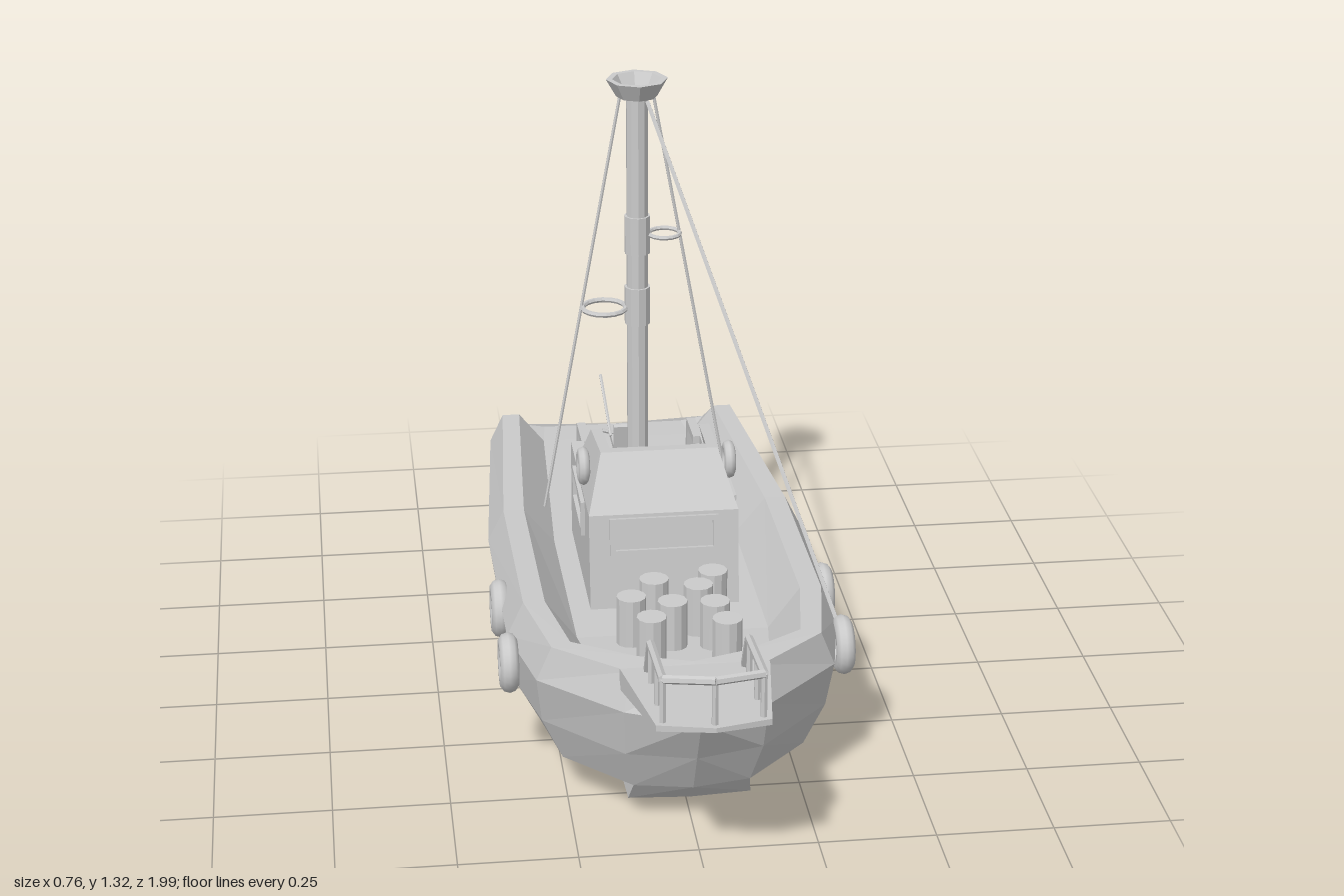
import * as THREE from 'three';

const mat = new THREE.MeshStandardMaterial({ color: 0xcccccc, flatShading: true, side: THREE.DoubleSide });
const smooth = new THREE.MeshStandardMaterial({ color: 0xcccccc });

// Half cross-section of the hull: keel, chines, shoulder, rim, deck edge, deck centre.
// The z values rake the section; those left out follow the keel.
function hullSection([beam, rim, floor, keel, zKeel, zMid = zKeel, zShoulder = zKeel, zRim = zKeel, zDeck = zKeel]) {
  return [
    [0, keel, zKeel],
    [Math.min(0.13, beam), keel + 0.005, zKeel],
    [beam * 0.82, rim * 0.25, (zKeel + zMid) / 2],
    [beam * 0.96, rim * 0.5, zMid],
    [beam, rim * 0.79, zShoulder],
    [beam * 0.9, rim, zRim],
    [beam * 0.77, rim, (zRim + zDeck) / 2],
    [beam * 0.58, floor, zDeck],
    [0, floor, zDeck],
  ];
}

export function createModel() {
  const boat = new THREE.Group();
  boat.name = 'fishingBoat';

  const add = (name, geo, pos = [0, 0, 0], rot = [0, 0, 0], m = mat) => {
    const mesh = new THREE.Mesh(geo, m);
    mesh.name = name;
    mesh.position.set(...pos);
    mesh.rotation.set(...rot);
    boat.add(mesh);
    return mesh;
  };
  // Round bar between two points
  const bar = (name, a, b, r) => {
    const p = new THREE.Vector3(...a), q = new THREE.Vector3(...b), d = q.clone().sub(p);
    const middle = p.clone().lerp(q, 0.5).toArray();
    const mesh = add(name, new THREE.CylinderGeometry(r, r, d.length(), 6), middle);
    mesh.quaternion.setFromUnitVectors(new THREE.Vector3(0, 1, 0), d.normalize());
  };
  const outline = pts => new THREE.Shape(pts.map(p => new THREE.Vector2(...p)));
  // Profile of [z, y] points extruded from x0 to x1, narrowing above the cabin shoulder
  const slab = (name, pts, x0, x1) => {
    const g = new THREE.ExtrudeGeometry(outline(pts), { depth: x1 - x0, bevelEnabled: false });
    g.rotateY(-Math.PI / 2).translate(x1, 0, 0);
    const p = g.attributes.position;
    for (let i = 0; i < p.count; i++) p.setX(i, p.getX(i) * (1 - Math.max(0, p.getY(i) - 0.49) * 1.9));
    add(name, g);
  };
  // Rectangular window frame with a raised border
  const frame = (name, w, h, pos, rot) => {
    const rect = (a, b) => outline([[-a, -b], [a, -b], [a, b], [-a, b]]);
    const s = rect(w / 2, h / 2);
    s.holes.push(rect(w / 2 - 0.012, h / 2 - 0.012));
    add(name, new THREE.ExtrudeGeometry(s, { depth: 0.012, bevelEnabled: false }), pos, rot);
  };

  // Hull, lofted from stern to bow: beam, rim height, floor height, keel height, z values
  const sections = [
    [.3, .25, .24, .005, -1, -.98, -.96, -.95, -.95],
    [.318, .32, .245, .005, -.85],
    [.365, .345, .26, .005, -.23],
    [.36, .372, .28, .005, .3],
    [.315, .385, .3, .025, .48, .5, .53, .54, .5],
    [.15, .392, .3, .04, .59, .67, .7, .68, .545],
    [0, .395, .3, .04, .6, .71, .775, .73, .58],
  ].map(hullSection);
  const verts = [];
  const tri = (a, b, c) => {
    verts.push(...a, ...b, ...c);
    for (const v of [a, c, b]) verts.push(-v[0], v[1], v[2]);
  };
  for (let i = 0; i < sections.length - 1; i++) {
    for (let j = 0; j < 8; j++) {
      const [a, b, c, d] = [sections[i][j], sections[i][j + 1], sections[i + 1][j + 1], sections[i + 1][j]];
      tri(a, b, c);
      tri(a, c, d);
    }
  }
  // Transom
  const stern = sections[0];
  for (let j = 0; j < 7; j++) tri(stern[8], stern[j + 1], stern[j]);
  const hull = new THREE.BufferGeometry();
  hull.setAttribute('position', new THREE.Float32BufferAttribute(verts, 3));
  hull.computeVertexNormals();
  add('hull', hull);

  // Bow platform: flat outline, sloped to a wedge
  const bow = new THREE.ExtrudeGeometry(
    outline([[-.155, .67], [.155, .67], [.115, .96], [0, .99], [-.115, .96]]), { depth: 1, bevelEnabled: false });
  const bp = bow.attributes.position;
  for (let i = 0; i < bp.count; i++) {
    const z = bp.getY(i), under = bp.getZ(i) > 0.5;
    bp.setXYZ(i, bp.getX(i), under ? .348 + (z - .67) * .2 : .395 + (z - .67) * .085, z);
  }
  bow.computeVertexNormals();
  add('bowPlatform', bow);

  // Bow railing
  for (const s of [-1, 1]) {
    const rail = [[s * .1, .40, .69], [s * .1, .485, .74], [s * .1, .512, .945], [0, .518, .975]];
    for (let i = 0; i < 3; i++) bar('bowRail', rail[i], rail[i + 1], .009);
    for (const [z, y] of [[.75, .485], [.86, .5], [.945, .512]]) bar('railPost', [s * .1, .4, z], [s * .1, y, z], .007);
  }
  bar('railPost', [0, .41, .97], [0, .515, .97], .007);

  // Open wheelhouse: side walls and raked front wall
  for (const s of [-1, 1]) {
    const [a, b] = s > 0 ? [.135, .165] : [-.165, -.135];
    slab('cabinSideLower', [[-.29, .25], [.16, .25], [.135, .49], [-.29, .485]], a, b);
    slab('cabinSideUpper', [[-.165, .487], [.135, .49], [.05, .603], [-.12, .587]], a, b);
    frame('sideWindowFrame', .205, .08, [s * .162, .44, -.062], [0, s * Math.PI / 2, 0]);
    add('lifeRing', new THREE.TorusGeometry(.03, .013, 8, 20), [s * .163, .547, -.01], [0, Math.PI / 2, 0], smooth);
    // Bent support frames behind the cabin
    slab('supportFrame', [[-.29, .465], [-.29, .483], [-.415, .477], [-.455, .25], [-.43, .25], [-.395, .46]],
      s * .13 - .01, s * .13 + .01);
  }
  slab('cabinFrontLower', [[.12, .25], [.162, .25], [.135, .49], [.1, .49]], -.165, .165);
  slab('cabinFrontUpper', [[.1, .49], [.135, .49], [.05, .603], [.02, .6]], -.165, .165);
  frame('frontWindowFrame', .24, .085, [0, .44, .138], [-.112, 0, 0]);

  // Mast with collars, lookout bowl and foot
  add('mastFoot', new THREE.BoxGeometry(.25, .03, .1), [0, .265, -.35]);
  add('mast', new THREE.CylinderGeometry(.025, .025, 1.04, 10), [0, .77, -.375]);
  for (const y of [.785, .957]) add('mastCollar', new THREE.CylinderGeometry(.03, .03, .09, 10), [0, y, -.375]);
  add('lookoutBowl', new THREE.LatheGeometry(
    [[0, 1.285], [.047, 1.285], [.07, 1.325], [.056, 1.325], [.04, 1.298], [0, 1.298]].map(p => new THREE.Vector2(...p)), 8),
  [0, 0, -.375]);
  add('mastHoop', new THREE.TorusGeometry(.05, .006, 6, 16), [-.077, .78, -.375], [Math.PI / 2, 0, 0]);
  add('mastHoop', new THREE.TorusGeometry(.036, .005, 6, 16), [.062, .956, -.375], [Math.PI / 2, 0, 0]);

  // Rigging
  for (const s of [-1, 1]) bar('shroud', [s * .037, 1.29, -.38], [s * .22, .28, -.385], .004);
  bar('forestay', [.02, 1.28, -.345], [.352, .31, .345], .005);

  // Fender tyres
  for (const s of [-1, 1]) {
    for (const z of [.105, .365]) {
      add('fenderTyre', new THREE.TorusGeometry(.044, .021, 10, 24), [s * .362, .263, z], [0, Math.PI / 2, 0], smooth);
    }
  }

  // Barrels on the foredeck
  for (const [x, z] of [[-.037, .265], [.095, .238], [.055, .302], [-.095, .344], [-.01, .376], [.08, .386], [-.063, .445], [.095, .47]]) {
    add('barrel', new THREE.CylinderGeometry(.032, .032, .115, 12), [x, .338, z]);
  }

  // Fishing seat and rod at the stern
  add('seatPost', new THREE.CylinderGeometry(.01, .014, .06, 8), [0, .275, -.69]);
  add('seat', new THREE.BoxGeometry(.06, .015, .09), [0, .308, -.685]);
  add('seatBack', new THREE.BoxGeometry(.06, .07, .012), [0, .338, -.635], [.2, 0, 0]);
  bar('rod', [-.03, .315, -.7], [-.042, .425, -.83], .004);
  bar('rodRest', [-.05, .325, -.715], [0, .31, -.715], .005);
  return boat;
}
